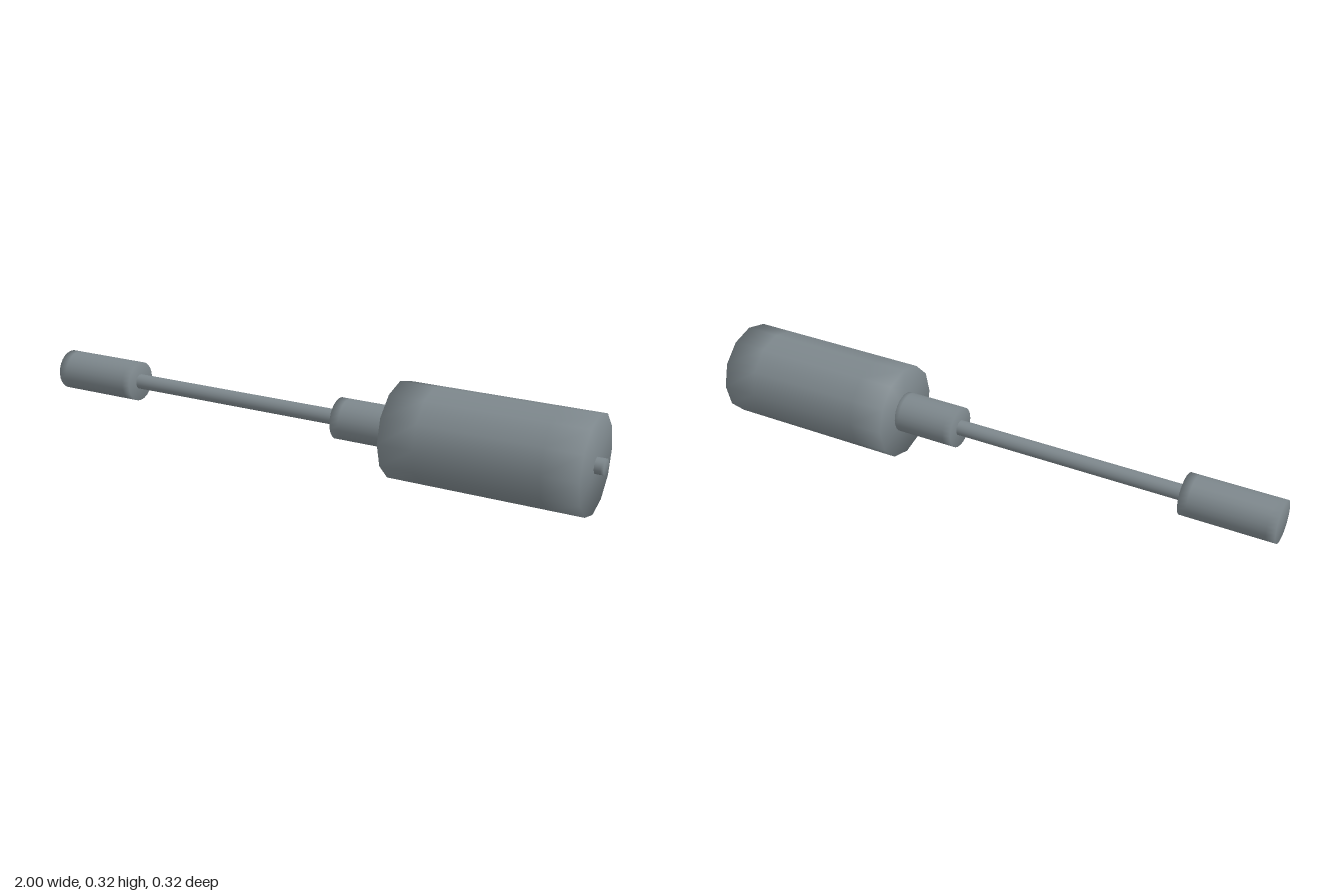
import * as THREE from 'three';

const AXIS_Y = 0.16;

export function createModel() {
  const group = new THREE.Group();
  const steel = new THREE.MeshStandardMaterial({ color: 0x7d878c });
  steel.name = 'steel grey';

  // Closed round part along x; the end loops set how far the soft edge shading reaches
  function turned(name, x0, x1, radius, sides, softEdge) {
    const profile = [
      [0, x0], [radius, x0], [radius, x0 + softEdge],
      [radius, x1 - softEdge], [radius, x1], [0, x1],
    ].map(([r, x]) => new THREE.Vector2(r, x));
    const geometry = new THREE.LatheGeometry(profile, sides);
    geometry.rotateZ(-Math.PI / 2);
    const mesh = new THREE.Mesh(geometry, steel);
    mesh.name = name;
    mesh.position.y = AXIS_Y;
    group.add(mesh);
  }

  turned('endGrip', -1, -0.69, 0.069, 24, 0.03);
  turned('rod', -0.7, 0.12, 0.026, 24, 0.01);
  turned('collar', 0.11, 0.34, 0.069, 24, 0.03);
  turned('barrel', 0.325, 0.97, 0.16, 12, 0.12);
  turned('tipStub', 0.96, 1, 0.026, 24, 0.01);

  return group;
}
